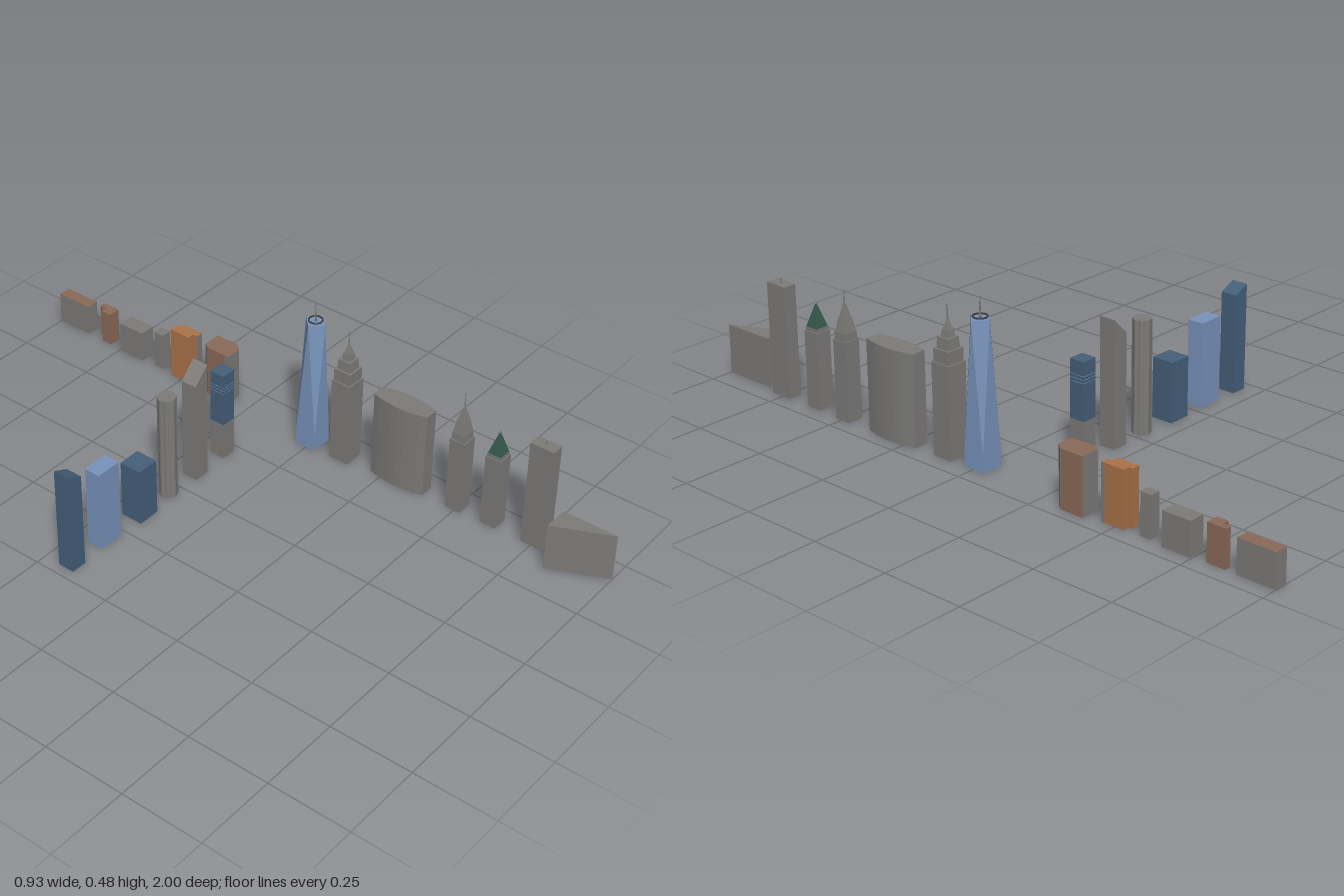
import * as THREE from 'three';

const mat = (name, color) => {
  const m = new THREE.MeshStandardMaterial({ color });
  m.name = name;
  return m;
};

export function createModel() {
  const city = new THREE.Group();
  city.name = 'citySkyline';
  const stone = mat('greyStone', 0x7c7b78);
  const dark = mat('darkMetal', 0x3a3a3a);
  const blue = mat('lightBlueGlass', 0x7893bb);
  const navy = mat('darkBlueGlass', 0x45607a);
  const brown = mat('brownBrick', 0x8a6a58);
  const orange = mat('orangeBrick', 0xaa7248);
  const green = mat('greenCopper', 0x35594c);

  const add = (name, geometry, material, parent = city) => {
    const mesh = new THREE.Mesh(geometry, material);
    mesh.name = name;
    parent.add(mesh);
    return mesh;
  };
  const tower = (name, x, z) => {
    const g = new THREE.Group();
    g.name = name;
    g.position.set(x, 0, z);
    city.add(g);
    return g;
  };
  // box from ranges
  const block = (name, x0, x1, y0, y1, z0, z1, material, parent) => {
    const g = new THREE.BoxGeometry(x1 - x0, y1 - y0, z1 - z0);
    g.translate((x0 + x1) / 2, (y0 + y1) / 2, (z0 + z1) / 2);
    return add(name, g, material, parent);
  };
  // upright prism over an [x, z] outline, optionally with a sloped roof
  const prism = (outline, height, roof) => {
    const shape = new THREE.Shape(outline.map(([x, z]) => new THREE.Vector2(x, -z)));
    const g = new THREE.ExtrudeGeometry(shape, { depth: height, bevelEnabled: false });
    g.rotateX(-Math.PI / 2);
    if (roof) {
      const p = g.attributes.position;
      for (let i = 0; i < p.count; i++) {
        if (p.getY(i) > height / 2) p.setY(i, roof(p.getX(i), p.getZ(i)));
      }
      g.computeVertexNormals();
    }
    return g;
  };
  const rect = (x0, x1, z0, z1) => [[x0, z0], [x1, z0], [x1, z1], [x0, z1]];
  // square tapering tier, given half widths
  const tier = (name, parent, half0, half1, y0, y1, material) => {
    const g = new THREE.CylinderGeometry(half1 * Math.SQRT2, half0 * Math.SQRT2, y1 - y0, 4).toNonIndexed();
    g.rotateY(Math.PI / 4);
    g.translate(0, (y0 + y1) / 2, 0);
    g.computeVertexNormals();
    return add(name, g, material, parent);
  };
  const mast = (parent, r, y0, y1, material = stone) => {
    const g = new THREE.CylinderGeometry(r * 0.4, r, y1 - y0, 8);
    g.translate(0, (y0 + y1) / 2, 0);
    add('mast', g, material, parent);
  };

  // ---- cross row ----
  add('slantedGlassTower', prism(rect(-0.468, -0.419, -0.197, -0.146), 0.3,
    (x) => 0.32 - (x + 0.468) * 0.45), navy);
  block('lightGlassTower', -0.35, -0.27, 0.004, 0.257, -0.197, -0.147, blue);
  block('lowGlassTower', -0.2, -0.13, 0.004, 0.184, -0.205, -0.136, navy);

  // fluted round tower
  const flutes = [];
  for (let i = 0; i < 32; i++) {
    const a = (i / 32) * Math.PI * 2, r = i % 4 < 2 ? 0.028 : 0.026;
    flutes.push([-0.04 + Math.cos(a) * r, -0.172 + Math.sin(a) * r]);
  }
  add('flutedRoundTower', prism(flutes, 0.335), stone);

  add('wedgeTopTower', prism(rect(0.053, 0.103, -0.196, -0.146), 0.35,
    (x) => 0.325 + (x - 0.053)), stone);

  // two-tone tower with thin bands
  const duo = tower('twoToneTower', 0.201, -0.172);
  block('stoneBase', -0.024, 0.024, 0.004, 0.122, -0.024, 0.024, stone, duo);
  block('glassShaft', -0.024, 0.024, 0.122, 0.292, -0.024, 0.024, navy, duo);
  for (const y of [0.23, 0.24, 0.25]) {
    block('paleBand', -0.0243, 0.0243, y, y + 0.0015, -0.0243, 0.0243, blue, duo);
  }
  for (const y of [0.02, 0.035, 0.05]) {
    block('brickBand', -0.0243, 0.0243, y, y + 0.0015, -0.0243, 0.0243, brown, duo);
  }

  // ---- long row, front to back ----
  add('triangularBlock', prism([[0.35, 0.83], [0.43, 0.83], [0.43, 1]], 0.15), stone);

  const slab = tower('tallSlabTower', 0.431, 0.755);
  block('shaft', -0.02, 0.02, 0, 0.338, -0.037, 0.037, stone, slab);
  mast(slab, 0.003, 0.338, 0.353);

  const copper = tower('copperRoofTower', 0.43, 0.612);
  tier('shaft', copper, 0.025, 0.025, 0.004, 0.235, stone);
  tier('shoulder', copper, 0.022, 0.022, 0.235, 0.245, stone);
  tier('copperRoof', copper, 0.021, 0.002, 0.245, 0.31, green);
  mast(copper, 0.0015, 0.305, 0.323);

  const crown = tower('crownedTower', 0.43, 0.494);
  tier('shaft', crown, 0.025, 0.025, 0, 0.238, stone);
  tier('shoulder', crown, 0.022, 0.021, 0.238, 0.262, stone);
  tier('crownLower', crown, 0.02, 0.013, 0.262, 0.302, stone);
  tier('crownUpper', crown, 0.012, 0.003, 0.302, 0.342, stone);
  mast(crown, 0.002, 0.34, 0.39);

  // bowed slab: two bulging long sides, flat ends
  const bow = [];
  for (const s of [1, -1]) {
    for (let i = 0; i <= 8; i++) {
      const t = (i / 8) * 2 - 1;
      bow.push([0.426 + s * (0.036 - 0.014 * t * t), 0.302 + s * t * 0.09]);
    }
  }
  add('bowedSlab', prism(bow, 0.272), stone);

  const stepped = tower('steppedTower', 0.415, 0.111);
  tier('shaft', stepped, 0.032, 0.032, 0, 0.272, stone);
  tier('upperShaft', stepped, 0.028, 0.028, 0.272, 0.31, stone);
  tier('setback', stepped, 0.022, 0.02, 0.31, 0.342, stone);
  tier('lantern', stepped, 0.014, 0.011, 0.342, 0.363, stone);
  tier('cap', stepped, 0.01, 0.003, 0.363, 0.387, stone);
  mast(stepped, 0.0025, 0.385, 0.433);

  // tapered glass tower: square base twisting to a diagonal square roof
  const glass = tower('facetedGlassTower', 0.41, -0.004);
  const h = 0.034, baseY = 0.045, topY = 0.422;
  block('base', -h, h, 0, baseY, -h, h, blue, glass);
  const low = [[h, h], [h, -h], [-h, -h], [-h, h]].map(([x, z]) => [x, baseY, z]);
  const high = [[h, 0], [0, -h], [-h, 0], [0, h]].map(([x, z]) => [x, topY, z]);
  const facets = [];
  for (let i = 0; i < 4; i++) {
    const j = (i + 1) % 4;
    facets.push(...low[i], ...low[j], ...high[i]);
    facets.push(...low[j], ...high[j], ...high[i]);
  }
  facets.push(...high[0], ...high[1], ...high[2], ...high[0], ...high[2], ...high[3]);
  const shaft = new THREE.BufferGeometry();
  shaft.setAttribute('position', new THREE.Float32BufferAttribute(facets, 3));
  shaft.computeVertexNormals();
  add('facetedShaft', shaft, blue, glass);
  const ring = new THREE.TorusGeometry(0.02, 0.0025, 6, 20);
  ring.rotateX(Math.PI / 2);
  ring.translate(0, 0.426, 0);
  add('roofRing', ring, dark, glass);
  mast(glass, 0.003, topY, 0.48);

  // cut-corner block: brown roof and long faces, grey ends
  add('cutCornerBlock', prism([[0.408, -0.407], [0.465, -0.407], [0.465, -0.33],
    [0.448, -0.31], [0.398, -0.31], [0.398, -0.39]], 0.17), [brown, stone]);
  block('brickFaceLeft', 0.465, 0.466, 0, 0.17, -0.405, -0.332, brown);
  block('brickFaceRight', 0.397, 0.398, 0, 0.17, -0.388, -0.325, brown);

  // pair of staggered orange blocks with grey corner strips
  const pair = tower('staggeredBrickBlock', 0, 0);
  block('rightWing', 0.405, 0.43, 0, 0.166, -0.54, -0.47, orange, pair);
  block('leftWing', 0.427, 0.45, 0, 0.166, -0.528, -0.455, orange, pair);
  block('cornerStrip', 0.45, 0.4505, 0, 0.166, -0.466, -0.455, stone, pair);
  block('cornerStrip', 0.427, 0.45, 0, 0.165, -0.455, -0.4545, stone, pair);

  block('smallStoneBlock', 0.412, 0.445, 0, 0.122, -0.612, -0.578, stone);
  block('wideStoneBlock', 0.405, 0.456, 0, 0.1, -0.745, -0.657, stone);
  add('steppedPlanBlock', prism([[0.41, -0.79], [0.41, -0.825], [0.43, -0.825],
    [0.43, -0.848], [0.448, -0.848], [0.448, -0.79]], 0.11), brown);
  add('brownRoofBlock', prism(rect(0.41, 0.45, -1, -0.882), 0.1), [brown, stone]);

  return city;
}
